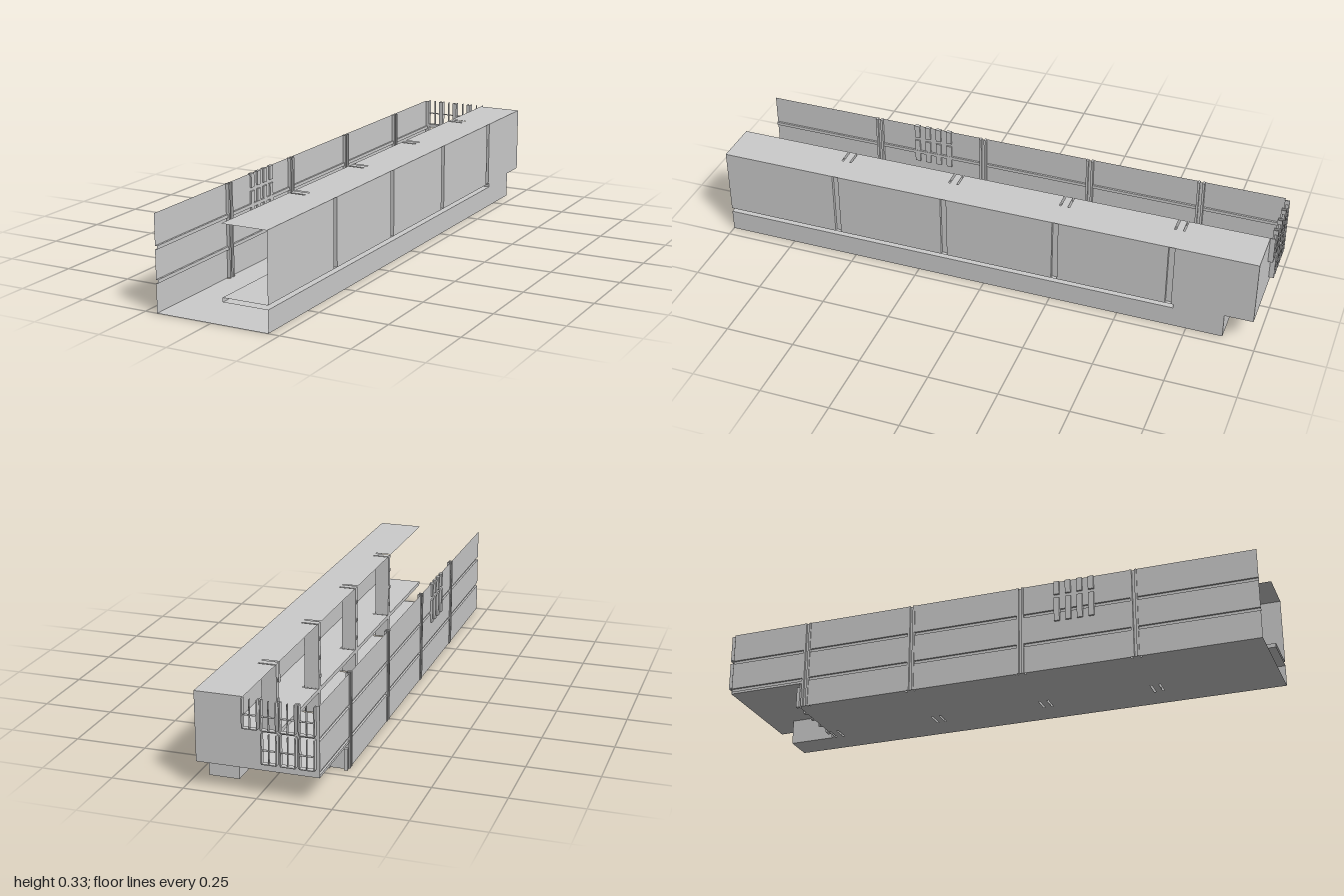
import * as THREE from 'three';

const mat = new THREE.MeshStandardMaterial({ color: 0xcccccc, side: THREE.DoubleSide, flatShading: true });
const XL = -0.205, XR = 0.21, XD = 0.045, H = 0.333;
const ZF = 1, ZS = -0.7, ZB = -0.88, ZE = -0.982;
const BAYS = [0.565, 0.15, -0.265, -0.68];

export function createModel() {
  const root = new THREE.Group();

  function add(name, geo, parent = root) {
    const m = new THREE.Mesh(geo, mat);
    m.name = name;
    parent.add(m);
    return m;
  }
  function group(name) {
    const g = new THREE.Group();
    g.name = name;
    root.add(g);
    return g;
  }
  // Box given by its two extreme corners
  function box(name, x0, x1, y0, y1, z0, z1, parent) {
    const m = add(name, new THREE.BoxGeometry(x1 - x0, y1 - y0, z1 - z0), parent);
    m.position.set((x0 + x1) / 2, (y0 + y1) / 2, (z0 + z1) / 2);
    return m;
  }
  // Sheet swept from a polyline along one direction
  function sweep(name, pts, d, parent) {
    const pos = [];
    for (let i = 0; i + 1 < pts.length; i++) {
      const a = pts[i], b = pts[i + 1];
      const c = b.map((v, k) => v + d[k]), e = a.map((v, k) => v + d[k]);
      pos.push(...a, ...b, ...c, ...a, ...c, ...e);
    }
    const g = new THREE.BufferGeometry();
    g.setAttribute('position', new THREE.Float32BufferAttribute(pos, 3));
    g.computeVertexNormals();
    return add(name, g, parent);
  }
  const poly = (C, pts) => new C(pts.map(p => new THREE.Vector2(p[0], p[1])));
  const rect = (C, a0, a1, b0, b1) => poly(C, [[a0, b0], [a1, b0], [a1, b1], [a0, b1]]);

  // Horizontal sheet; outline is in (x, -z)
  function deck(name, outline, holes, y) {
    const s = poly(THREE.Shape, outline.map(([x, z]) => [x, -z]));
    holes.forEach(([x0, x1, z0, z1]) => s.holes.push(rect(THREE.Path, x0, x1, -z1, -z0)));
    const m = add(name, new THREE.ShapeGeometry(s), root);
    m.rotation.x = -Math.PI / 2;
    m.position.y = y;
  }

  // Slits beside the columns and the wall channels
  const columnSlits = [], wallSlits = [];
  for (const z of BAYS) for (const s of [-1, 1]) {
    const near = z + s * 0.012, far = z + s * 0.019;
    const r = [Math.min(near, far), Math.max(near, far)];
    if (r[0] < ZS + 0.002) r[0] = ZS + 0.002;
    columnSlits.push([XD + 0.001, 0.105, ...r]);
    wallSlits.push([XL + 0.001, -0.194, ...r]);
  }

  // Decks and roof
  deck('floor', [[XL, ZF], [XR, ZF], [XR, ZB], [0.105, ZB], [0.105, ZS], [XL, ZS]],
    [...columnSlits, ...wallSlits], 0);
  const gallery = [[XD, ZF], [XR, ZF], [XR, ZS], [XD, ZS]];
  deck('galleryCeiling', gallery, columnSlits, 0.077);
  deck('galleryFloor', gallery, columnSlits, 0.092);
  deck('rearPlatform', [[XL, ZS], [XR, ZS], [XR, ZE], [XL, ZE]], [], 0.092);
  deck('roof', [[XD, ZF], [XR, ZF], [XR, ZE], [XD, ZE]], columnSlits, H);
  sweep('galleryEdge', [[XD, 0.077, ZF], [XD, 0.092, ZF]], [0, 0, ZS - ZF]);

  // Outer wall: lower sheet, slot end, and upper sheet with vertical channels
  sweep('lowerRightWall', [[XR, 0, ZF], [XR, 0.077, ZF]], [0, 0, ZB - ZF]);
  sweep('slotEnd', [[XR, 0.077, ZS], [XR, 0.092, ZS]], [0, 0, ZB - ZS]);
  const plan = [[XR, 0.092, ZF]];
  for (const z of BAYS) {
    for (const [x, dz] of [[XR, 0.011], [0.198, 0.011], [0.198, -0.011], [XR, -0.011]])
      plan.push([x, 0.092, z + dz]);
  }
  plan.push([XR, 0.092, ZE]);
  sweep('upperRightWall', plan, [0, H - 0.092, 0]);

  // Banded wall with horizontal grooves, one stretch per bay
  const left = group('leftWall');
  const stops = [ZF, ...BAYS, ZE];
  const band = (y0) => {
    const p = [[XL, y0]];
    for (const y of [0.107, 0.22]) if (y > y0)
      p.push([XL, y - 0.006], [-0.198, y - 0.006], [-0.198, y + 0.006], [XL, y + 0.006]);
    p.push([XL, H]);
    return p;
  };
  for (let i = 0; i + 1 < stops.length; i++) {
    const z0 = stops[i] - (i > 0 ? 0.012 : 0);
    const last = i + 2 === stops.length;
    const z1 = stops[i + 1] + (last ? 0 : 0.012);
    sweep('wallBay', band(last ? 0.092 : 0).map(([x, y]) => [x, y, z0]), [0, 0, z1 - z0], left);
  }
  for (const z of BAYS) {
    for (const s of [-1, 1])
      box('wallPost', -0.208, -0.193, 0, H, z + s * 0.009 - 0.004, z + s * 0.009 + 0.004, left);
    sweep('postWeb', [[-0.2, 0, z - 0.009], [-0.2, 0, z + 0.009]], [0, H, 0], left);
  }
  // Vertical fins on the banded wall
  for (let i = 0; i < 4; i++) {
    const z = 0.285 + i * 0.042;
    box('wallFin', -0.212, -0.199, 0.18, 0.27, z - 0.008, z + 0.012, left);
    box('wallFin', -0.212, -0.199, 0.283, H, z - 0.008, z + 0.012, left);
  }

  // Gallery columns
  const columnShape = poly(THREE.Shape, [[XD, 0], [0.098, 0], [0.098, 0.28], [0.105, H], [XD, H]]);
  const columns = group('columns');
  for (const z of BAYS) {
    const g = new THREE.ExtrudeGeometry(columnShape, { depth: 0.023, bevelEnabled: false });
    add('column', g, columns).position.z = z - 0.0115;
    for (const y of [0.13, 0.2, 0.27])
      box('columnBracket', XD - 0.003, XD, y, y + 0.012, z - 0.006, z + 0.006, columns);
  }

  // Lower end wall with panels, and the block beside it
  const lower = group('lowerEndWall');
  sweep('endWall', [[XL, 0, ZS], [XD, 0, ZS]], [0, 0.092, 0], lower);
  sweep('endWall', [[XD, 0, ZS], [0.105, 0, ZS]], [0, 0.077, 0], lower);
  for (const [a, b] of [[-0.205, -0.193], [-0.143, -0.13], [-0.08, -0.068], [-0.018, -0.005], [0.045, 0.07], [0.098, 0.105]])
    box('endPilaster', a, b, 0, 0.077, ZS - 0.012, ZS, lower);
  sweep('blockWalls', [[0.105, 0, ZS], [0.105, 0, ZB], [XR, 0, ZB]], [0, 0.092, 0], lower);
  sweep('blockFront', [[0.105, 0.077, ZS], [XR, 0.077, ZS]], [0, 0.015, 0], lower);

  // Rear wall: solid behind the gallery, windows behind the hall
  const rear = group('rearWall');
  sweep('rearPanel', [[XD, 0.092, ZE], [XR, 0.092, ZE]], [0, H - 0.092, 0], rear);
  sweep('rearSill', [[XL, 0.092, ZE], [XD, 0.092, ZE]], [0, 0.03, 0], rear);
  sweep('rearBand', [[XL, 0.222, ZE], [XD, 0.222, ZE]], [0, 0.013, 0], rear);
  sweep('rearCorner', [[-0.018, 0.122, ZE], [XD, 0.122, ZE]], [0, 0.1, 0], rear);
  for (let i = 0; i < 4; i++) {
    const x0 = -0.193 + i * 0.0625, x1 = x0 + 0.05, xm = (x0 + x1) / 2;
    sweep('rearPier', [[x0 - 0.0125, 0.122, ZE], [x0, 0.122, ZE]], [0, H - 0.122, 0], rear);
    for (const [y0, y1] of i < 3 ? [[0.122, 0.222], [0.235, H]] : [[0.235, H]]) {
      const ym = y0 + 0.045;
      for (const x of [x0, x1])
        box('windowJamb', x - 0.002, x + 0.002, y0, y1, -1, ZE, rear);
      box('windowSill', x0, x1, y0 - 0.003, y0, -1, ZE, rear);
      box('mullion', xm - 0.001, xm + 0.001, y0, y1, -1, -0.99, rear);
      box('transom', x0, x1, ym - 0.001, ym + 0.001, -1, -0.99, rear);
    }
  }

  // Standing figure for scale
  const figure = group('standingFigure');
  figure.position.set(0.003, 0, -0.04);
  for (const s of [-1, 1]) {
    box('leg', s * 0.0025 - 0.0015, s * 0.0025 + 0.0015, 0, 0.017, -0.002, 0.002, figure);
    box('arm', s * 0.0055 - 0.001, s * 0.0055 + 0.001, 0.015, 0.029, -0.0015, 0.0015, figure);
  }
  box('torso', -0.0045, 0.0045, 0.016, 0.03, -0.0025, 0.0025, figure);
  add('head', new THREE.SphereGeometry(0.003, 10, 8), figure).position.y = 0.034;

  return root;
}
